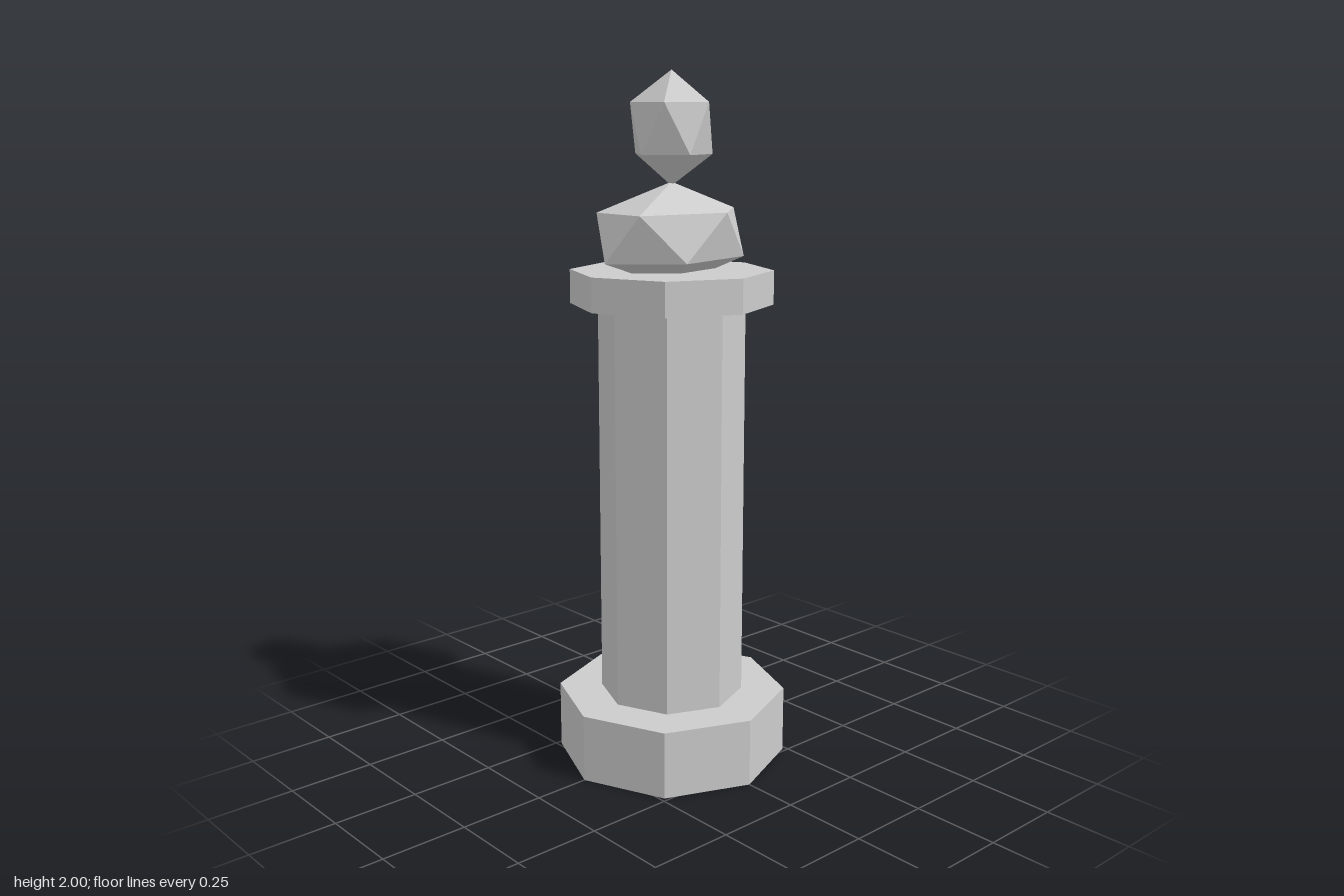
import * as THREE from 'three';

export function createModel() {
  const group = new THREE.Group();
  const stone = new THREE.MeshStandardMaterial({ color: 0xcccccc, flatShading: true });
  stone.name = 'stone grey';

  const add = (name, geometry, y) => {
    const mesh = new THREE.Mesh(geometry, stone);
    mesh.name = name;
    mesh.position.y = y;
    group.add(mesh);
  };

  // Octagonal drum between two heights
  const drum = (name, radius, bottom, top) =>
    add(name, new THREE.CylinderGeometry(radius, radius, top - bottom, 8), (bottom + top) / 2);

  // Stretched icosahedron standing on a corner, one upper corner towards +x
  const gem = (name, sx, sy, sz, y) => {
    const geometry = new THREE.IcosahedronGeometry(1, 0);
    geometry.rotateX(-Math.atan((1 + Math.sqrt(5)) / 2));
    geometry.rotateY(Math.PI / 2);
    geometry.scale(sx, sy, sz);
    add(name, geometry, y);
  };

  // Pedestal
  drum('base', 0.337, 0, 0.197);
  drum('shaft', 0.21, 0.197, 1.355);
  drum('capital', 0.289, 1.355, 1.452);

  // Bust
  gem('shoulders', 0.27, 0.147, 0.174, 1.55);
  gem('head', 0.124, 0.157, 0.135, 1.843);

  return group;
}
